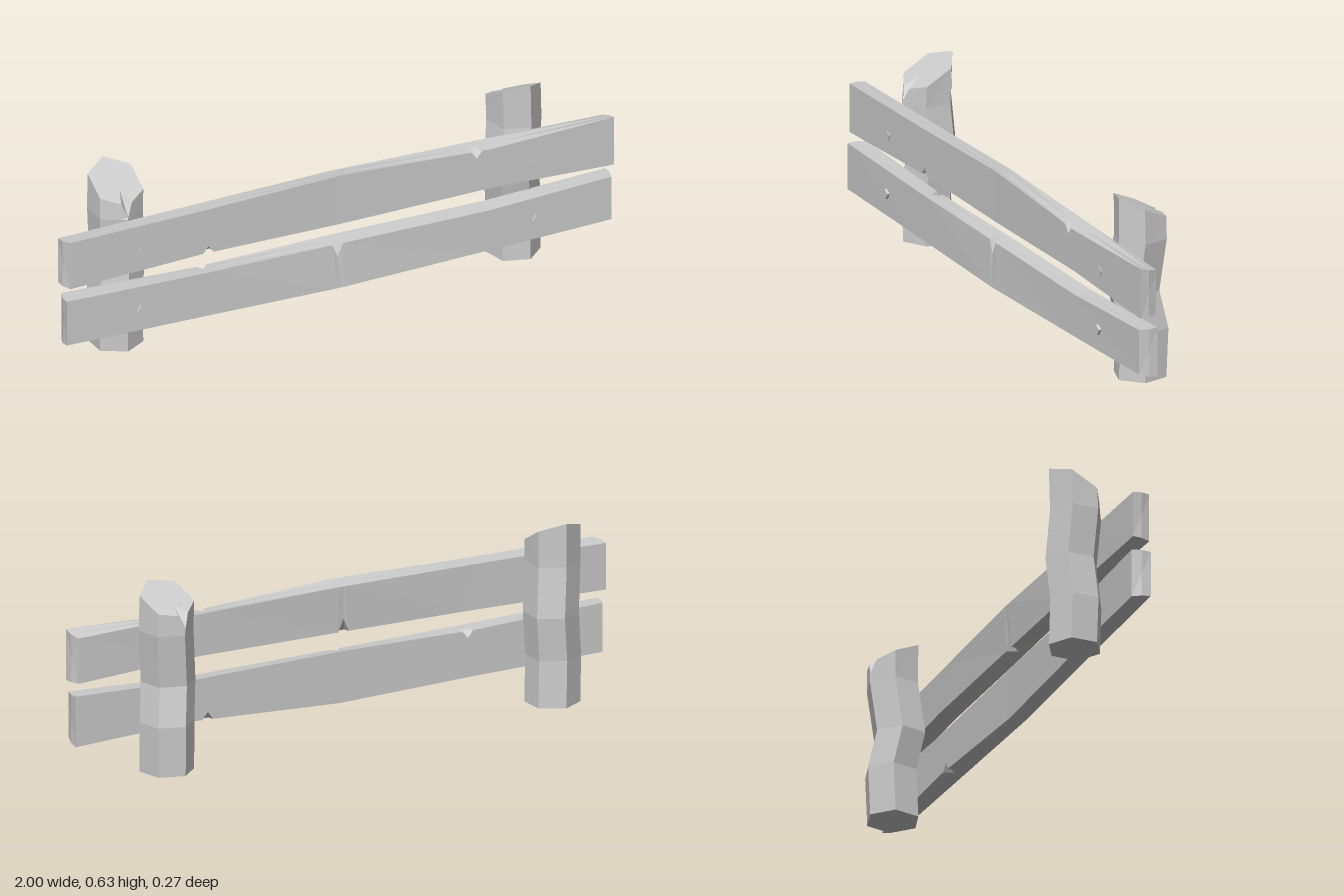
import * as THREE from 'three';

const material = new THREE.MeshStandardMaterial({ color: 0xcccccc, flatShading: true });

// Skins a list of equal-length rings and closes both ends with fans.
function loft(rings) {
  const pos = [];
  const tri = (a, b, c) => {
    const area = b.clone().sub(a).cross(c.clone().sub(a)).length();
    if (area > 1e-9) for (const p of [a, b, c]) pos.push(p.x, p.y, p.z);
  };
  const n = rings[0].length;
  for (let r = 0; r + 1 < rings.length; r++) {
    const lo = rings[r], hi = rings[r + 1];
    for (let i = 0; i < n; i++) {
      const j = (i + 1) % n;
      tri(lo[i], lo[j], hi[j]);
      tri(lo[i], hi[j], hi[i]);
    }
  }
  const cap = (ring, flip) => {
    const c = ring.reduce((s, p) => s.add(p), new THREE.Vector3()).divideScalar(n);
    for (let i = 0; i < n; i++) {
      const j = (i + 1) % n;
      if (flip) tri(c, ring[j], ring[i]);
      else tri(c, ring[i], ring[j]);
    }
  };
  cap(rings[0], true);
  cap(rings[rings.length - 1], false);
  const g = new THREE.BufferGeometry();
  g.setAttribute('position', new THREE.Float32BufferAttribute(pos, 3));
  g.computeVertexNormals();
  return g;
}

// Crooked six-sided post: sloped top with a split at the corner facing `angle`.
function makePost(name, cx, cz, angle, bends, topHeight) {
  const R = 0.091;
  const section = (dx, dz, height) => {
    const corners = [];
    for (let i = 0; i < 6; i++) {
      const a = angle + (i * Math.PI) / 3;
      corners.push(new THREE.Vector3(cx + dx + R * Math.sin(a), 0, cz + dz + R * Math.cos(a)));
    }
    // extra points either side of the split corner
    const ring = [
      corners[0].clone().lerp(corners[5], 0.25), corners[0],
      corners[0].clone().lerp(corners[1], 0.25), ...corners.slice(1),
    ];
    ring.forEach((p) => { p.y = height(p.z); });
    return ring;
  };
  const rings = bends.map(([y, dx, dz]) => section(dx, dz, () => y));
  const top = section(0, 0, topHeight);
  const inner = top.map((p) => p.clone());
  inner[1].x -= 0.06 * Math.sin(angle);
  inner[1].z -= 0.06 * Math.cos(angle);
  inner[1].y = topHeight(inner[1].z);
  top[1].y -= 0.04;
  rings.push(top, inner);
  const mesh = new THREE.Mesh(loft(rings), material);
  mesh.name = name;
  return mesh;
}

// Rough plank; stations are x, front top, back top, front bottom, back bottom, back z.
function plankGeometry() {
  const stations = [
    [-1, 0.48, 0.473, 0.312, 0.314, 0.057],
    [-0.5, 0.485, 0.481, 0.328, 0.325, 0.056],
    [0, 0.497, 0.487, 0.321, 0.33, 0.05],
    [0.55, 0.469, 0.478, 0.328, 0.334, 0.055],
    [1, 0.485, 0.468, 0.312, 0.313, 0.057],
  ];
  // chips: x, index of the damaged edge in the section, vertical bite
  const chips = [[-0.48, 3, 0.024], [-0.01, 5, 0.045], [0.5, 2, -0.026]];
  const sample = (x) => {
    let k = 0;
    while (k < 3 && stations[k + 1][0] < x) k++;
    const a = stations[k], b = stations[k + 1];
    const t = (x - a[0]) / (b[0] - a[0]);
    return a.map((v, i) => v + (b[i] - v) * t);
  };
  const section = (x) => {
    const [, ft, bt, fb, bb, zb] = sample(x);
    const zf = 0.12 - 0.006 * (1 - Math.abs(x)), zm = 0.088;
    const v = (y, z) => new THREE.Vector3(x, y, z);
    return [v(bt, zb), v((ft + bt) / 2, zm), v(ft, zf), v(fb, zf), v((fb + bb) / 2, zm), v(bb, 0.057)];
  };
  const xs = stations.map((s) => s[0]).filter((x) => chips.every((c) => Math.abs(c[0] - x) > 0.03));
  for (const [x] of chips) xs.push(x - 0.02, x, x + 0.02);
  xs.sort((a, b) => a - b);
  const rings = xs.map((x) => {
    const ring = section(x);
    const chip = chips.find((c) => c[0] === x);
    if (chip) ring[chip[1]].y += chip[2];
    return ring;
  });
  // slightly skewed end cuts
  for (const i of [2, 3]) rings[0][i].x = -0.987;
  for (const i of [0, 5]) rings[rings.length - 1][i].x = 0.99;
  return loft(rings);
}

export function createModel() {
  const model = new THREE.Group();

  model.add(
    makePost('rightPost', -0.742, -0.037, 0,
      [[0, 0, 0], [0.16, -0.005, 0.003], [0.31, 0.01, -0.008], [0.48, -0.003, 0.003]],
      (z) => 0.63 - 0.56 * (z + 0.128)),
    makePost('leftPost', 0.71, -0.035, (192 * Math.PI) / 180,
      [[0, 0, 0], [0.17, 0.003, -0.006], [0.3, -0.015, 0.018], [0.48, 0.003, 0]],
      (z) => 0.63 - 0.48 * (0.055 - z)),
  );

  // The lower plank is the upper one turned over about its length.
  const geometry = plankGeometry();
  const upper = new THREE.Mesh(geometry, material);
  upper.name = 'upperPlank';
  const lower = new THREE.Mesh(geometry, material);
  lower.name = 'lowerPlank';
  lower.rotation.x = Math.PI;
  lower.position.set(0, 0.583, 0.177);
  model.add(upper, lower);

  // Square nail heads, set as diamonds
  for (const [row, y, front] of [['upper', 0.385, 0.121], ['lower', 0.183, 0.13]]) {
    for (const [side, x] of [['Right', -0.727], ['Left', 0.717]]) {
      const nail = new THREE.Mesh(new THREE.CylinderGeometry(0.017, 0.017, 0.03, 4), material);
      nail.name = row + side + 'Nail';
      nail.rotation.set(Math.PI / 2, 0.25, 0);
      nail.position.set(x, y, front - 0.015);
      model.add(nail);
    }
  }
  return model;
}
